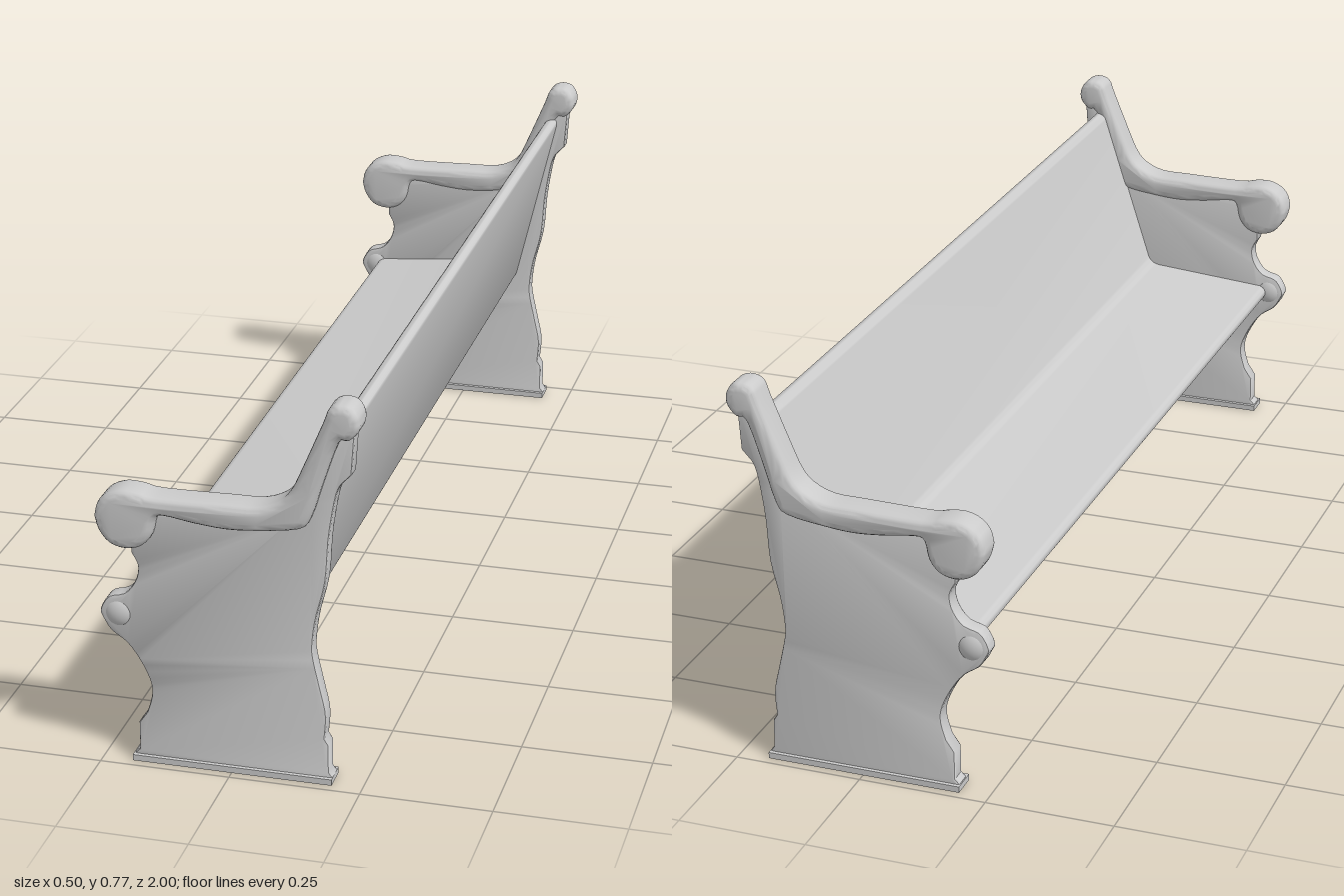
import * as THREE from 'three';
import { toCreasedNormals } from 'three/addons/utils/BufferGeometryUtils.js';

const vecs = (pts) => pts.map(([x, y]) => new THREE.Vector2(x, y));

// Extrude an outline along z, centred, with edges rounded inside the outline
function slab(points, depth, round, segments) {
  const geo = new THREE.ExtrudeGeometry(new THREE.Shape(points), {
    depth: depth - 2 * round,
    bevelEnabled: round > 0,
    bevelThickness: round,
    bevelSize: round,
    bevelOffset: -round,
    bevelSegments: segments,
  });
  geo.translate(0, 0, -(depth - 2 * round) / 2);
  return toCreasedNormals(geo, 0.75);
}

export function createModel() {
  const model = new THREE.Group();
  model.name = 'bench';
  const material = new THREE.MeshStandardMaterial({ color: 0xcccccc });
  const add = (parent, name, geo, x = 0, y = 0, z = 0) => {
    const mesh = new THREE.Mesh(geo, material);
    mesh.name = name;
    mesh.position.set(x, y, z);
    parent.add(mesh);
    return mesh;
  };

  // Seat and back: one bent profile with rounded free edges
  const seat = new THREE.Shape();
  seat.moveTo(-0.198, 0.285);
  seat.lineTo(0.112, 0.298);
  seat.quadraticCurveTo(0.12, 0.299, 0.123, 0.308);
  seat.lineTo(0.21, 0.675);
  seat.quadraticCurveTo(0.212, 0.69, 0.2, 0.69);
  seat.quadraticCurveTo(0.186, 0.69, 0.182, 0.677);
  seat.lineTo(0.076, 0.352);
  seat.quadraticCurveTo(0.069, 0.336, 0.05, 0.334);
  seat.lineTo(-0.197, 0.313);
  seat.quadraticCurveTo(-0.21, 0.311, -0.211, 0.299);
  seat.quadraticCurveTo(-0.21, 0.286, -0.198, 0.285);
  add(model, 'seatAndBack', slab(seat.getPoints(6).slice(0, -1), 1.89, 0, 1));

  // End panel outline, anticlockwise from the bottom
  const backEdge = new THREE.SplineCurve(vecs([
    [0.177, 0.09], [0.18, 0.14], [0.17, 0.19], [0.157, 0.25], [0.155, 0.28],
    [0.162, 0.335], [0.18, 0.41], [0.187, 0.5], [0.2, 0.58], [0.21, 0.605],
  ])).getPoints(30);
  const frontEdge = new THREE.SplineCurve(vecs([
    [-0.187, 0.425], [-0.175, 0.4], [-0.18, 0.37], [-0.2, 0.343], [-0.23, 0.333],
    [-0.243, 0.318], [-0.25, 0.3], [-0.246, 0.288], [-0.23, 0.262], [-0.2, 0.24],
    [-0.175, 0.205], [-0.157, 0.165], [-0.155, 0.135], [-0.165, 0.1],
  ])).getPoints(42);
  const panelGeo = slab([
    ...vecs([[-0.19, 0.004], [0.19, 0.004], [0.192, 0.012], [0.185, 0.022], [0.185, 0.077]]),
    ...backEdge,
    ...vecs([[0.229, 0.625], [0.235, 0.71], [0.215, 0.73], [0.15, 0.565], [0.12, 0.535],
      [0, 0.525], [-0.15, 0.53], [-0.187, 0.5]]),
    ...frontEdge,
    ...vecs([[-0.181, 0.077], [-0.181, 0.022], [-0.19, 0.013]]),
  ], 0.036, 0.005, 2);

  // Armrest: front scroll, level arm, sloping post and top knob
  const armOutline = new THREE.SplineCurve(vecs([
    [-0.25, 0.5], [-0.242, 0.472], [-0.222, 0.448], [-0.192, 0.44], [-0.162, 0.448],
    [-0.142, 0.472], [-0.133, 0.507], [-0.115, 0.513], [-0.06, 0.505], [0, 0.5],
    [0.06, 0.504], [0.135, 0.516], [0.157, 0.54], [0.178, 0.605], [0.208, 0.69],
    [0.228, 0.697], [0.245, 0.715], [0.248, 0.738], [0.235, 0.76], [0.212, 0.765],
    [0.192, 0.755], [0.18, 0.725], [0.142, 0.635], [0.122, 0.592], [0.1, 0.568],
    [0.06, 0.552], [0, 0.55], [-0.13, 0.548], [-0.165, 0.554], [-0.198, 0.556],
    [-0.227, 0.545], [-0.244, 0.525], [-0.25, 0.5],
  ])).getPoints(96).slice(0, -1);
  const armGeo = slab(armOutline, 0.07, 0.016, 4);

  // Floor strip and front knob
  const footGeo = new THREE.BoxGeometry(0.384, 0.012, 0.052);
  const knobGeo = new THREE.SphereGeometry(1, 24, 16).scale(0.034, 0.035, 0.025);

  for (const side of [1, -1]) {
    const end = new THREE.Group();
    end.name = side > 0 ? 'leftEnd' : 'rightEnd';
    add(end, 'endPanel', panelGeo, 0, 0, side * 0.957);
    add(end, 'armrest', armGeo, 0, 0, side * 0.965);
    add(end, 'footStrip', footGeo, 0, 0.006, side * 0.957);
    add(end, 'frontKnob', knobGeo, -0.215, 0.299, side * 0.957);
    model.add(end);
  }
  return model;
}
